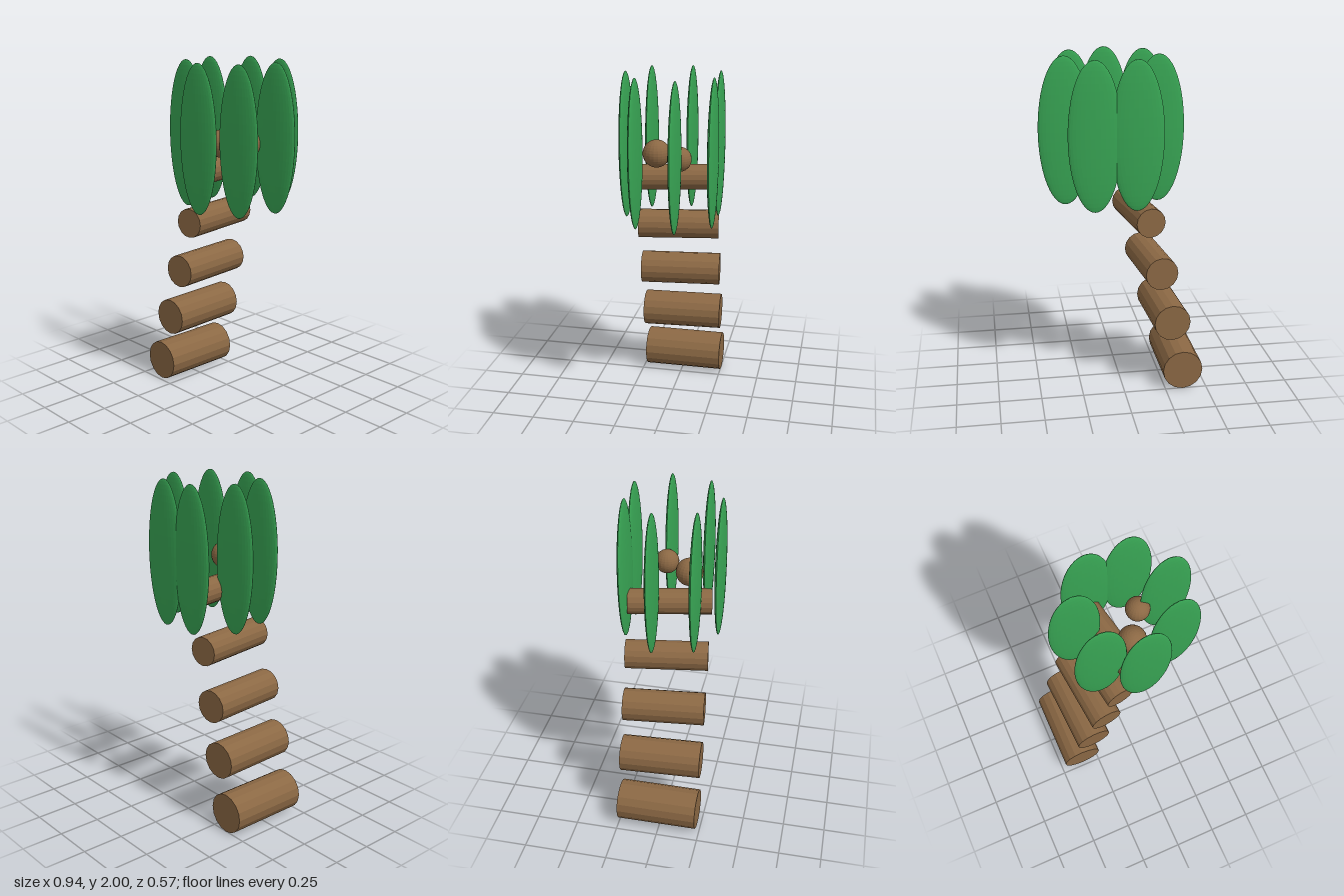
import * as THREE from 'three';

const bark = new THREE.MeshStandardMaterial({ color: 0x8b6844, flatShading: true });
const green = new THREE.MeshStandardMaterial({ color: 0x38a554, flatShading: true });
const CENTER_Z = -0.012;

function add(parent, name, geometry, material, x, y, z) {
  const mesh = new THREE.Mesh(geometry, material);
  mesh.name = name;
  mesh.position.set(x, y, z);
  parent.add(mesh);
  return mesh;
}

export function createModel() {
  const tree = new THREE.Group();
  tree.name = 'palmTree';

  // Trunk: separate logs lying front to back, thinner and more turned higher up
  const trunk = new THREE.Group();
  trunk.name = 'trunk';
  for (let i = 0; i < 5; i++) {
    const r = 0.12 - i * 0.0113;
    const log = new THREE.CylinderGeometry(r, r, 0.48, 16).rotateX(Math.PI / 2);
    const mesh = add(trunk, `trunkLog${i + 1}`, log, bark, -0.355 + i * 0.08, 0.12 + i * 0.315, CENTER_Z);
    mesh.rotation.y = i * 0.05;
  }
  tree.add(trunk);

  // Crown: a ring of upright flat leaves, all facing front
  const crown = new THREE.Group();
  crown.name = 'crown';
  const leaf = new THREE.SphereGeometry(1, 32, 24).scale(0.15, 0.426, 0.0245);
  for (let i = 0; i < 7; i++) {
    const a = (i / 7) * Math.PI * 2;
    add(crown, `leaf${i + 1}`, leaf, green,
      0.05 + 0.275 * Math.sin(a), 1.574, CENTER_Z + 0.275 * Math.cos(a));
  }
  tree.add(crown);

  // Coconuts resting on the top log
  add(tree, 'largeCoconut', new THREE.SphereGeometry(0.08, 20, 16), bark, 0.05, 1.535, 0.086);
  add(tree, 'smallCoconut', new THREE.SphereGeometry(0.07, 20, 16), bark, 0.15, 1.535, -0.066);

  return tree;
}
